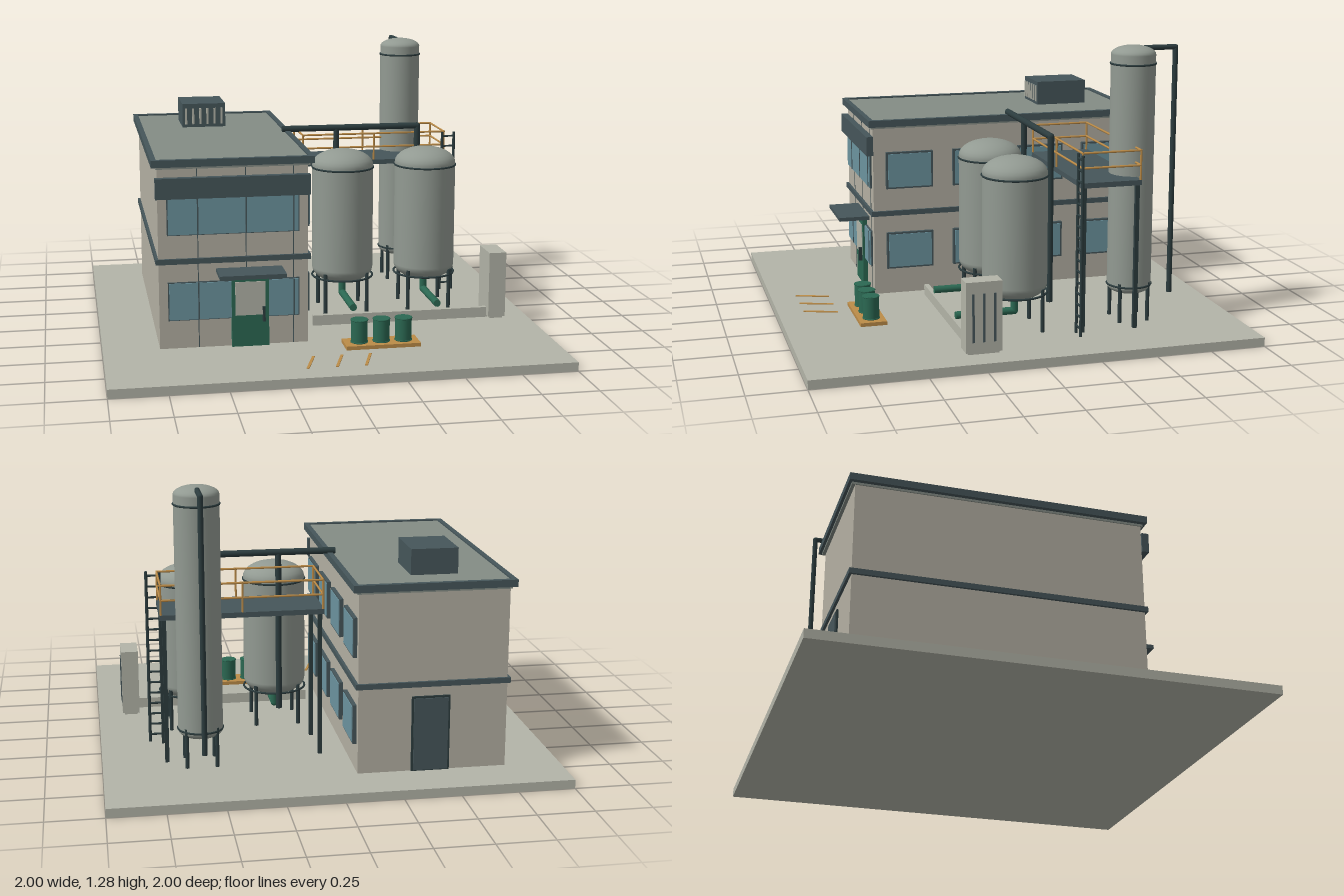
import * as THREE from 'three';

const mat = (name, color) => {
  const m = new THREE.MeshStandardMaterial({ color });
  m.name = name;
  return m;
};

export function createModel() {
  const root = new THREE.Group();
  root.name = 'processPlant';
  const M = {
    concrete: mat('concrete', 0xb3b4a8),
    wall: mat('wall', 0xb4b0a3),
    roof: mat('roofGrey', 0x848c85),
    steel: mat('tankSteel', 0x929a92),
    slate: mat('slate', 0x46565a),
    dark: mat('darkPipe', 0x2c3c3e),
    glass: mat('glass', 0x6c949f),
    green: mat('green', 0x2b6852),
    orange: mat('orange', 0xbc8c48),
  };

  const add = (parent, name, geo, material) => {
    const mesh = new THREE.Mesh(geo, material);
    mesh.name = name;
    parent.add(mesh);
    return mesh;
  };
  const group = (name, x = 0, y = 0, z = 0) => {
    const g = new THREE.Group();
    g.name = name;
    g.position.set(x, y, z);
    root.add(g);
    return g;
  };
  // box given by its extents
  const box = (p, name, m, x0, x1, y0, y1, z0, z1) => {
    const b = add(p, name, new THREE.BoxGeometry(x1 - x0, y1 - y0, z1 - z0), m);
    b.position.set((x0 + x1) / 2, (y0 + y1) / 2, (z0 + z1) / 2);
    return b;
  };
  // round bar between two points
  const rod = (p, name, m, a, b, r, sides = 10) => {
    const A = new THREE.Vector3(...a), B = new THREE.Vector3(...b);
    const d = B.clone().sub(A);
    const c = add(p, name, new THREE.CylinderGeometry(r, r, d.length(), sides), m);
    c.position.copy(A).add(B).multiplyScalar(0.5);
    c.quaternion.setFromUnitVectors(new THREE.Vector3(0, 1, 0), d.normalize());
    return c;
  };
  // pipe run with ball elbows
  const pipe = (p, name, m, pts, r) => {
    pts.slice(1).forEach((q, i) => rod(p, name, m, pts[i], q, r, 14));
    pts.slice(1, -1).forEach((q) => add(p, name + 'Elbow', new THREE.SphereGeometry(r, 14, 10), m).position.set(...q));
  };

  box(root, 'groundSlab', M.concrete, -1, 1, 0, 0.04, -1, 1);

  // building shell
  const house = group('building');
  box(house, 'walls', M.wall, -0.75, -0.09, 0.04, 0.85, -0.78, 0.51);
  box(house, 'floorBand', M.slate, -0.762, -0.078, 0.423, 0.447, -0.792, 0.522);
  box(house, 'roofSlab', M.roof, -0.755, -0.08, 0.845, 0.88, -0.795, 0.52);
  for (const [z0, z1] of [[-0.808, -0.785], [0.51, 0.533]])
    box(house, 'roofEdge', M.slate, -0.775, -0.063, 0.855, 0.887, z0, z1);
  for (const [x0, x1] of [[-0.775, -0.752], [-0.086, -0.063]])
    box(house, 'roofEdge', M.slate, x0, x1, 0.855, 0.887, -0.785, 0.51);
  box(house, 'fascia', M.slate, -0.76, -0.082, 0.717, 0.808, 0.51, 0.542);

  // front window strips and panel seams
  for (const [y0, y1] of [[0.555, 0.717], [0.172, 0.337]]) {
    box(house, 'frontWindowFrame', M.slate, -0.711, -0.129, y0 - 0.004, y1 + 0.004, 0.51, 0.518);
    box(house, 'frontWindow', M.glass, -0.706, -0.134, y0, y1, 0.512, 0.523);
    for (const x of [-0.577, -0.365, -0.155])
      box(house, 'mullion', M.slate, x - 0.003, x + 0.003, y0, y1, 0.518, 0.526);
  }
  for (const x of [-0.577, -0.365, -0.155])
    box(house, 'panelSeam', M.slate, x - 0.002, x + 0.002, 0.04, 0.845, 0.509, 0.512);

  // side windows
  for (const z of [0.338, 0.013, -0.311, -0.635])
    for (const y of [0.253, 0.643]) {
      box(house, 'sideWindowFrame', M.slate, -0.09, -0.073, y - 0.088, y + 0.088, z - 0.113, z + 0.113);
      box(house, 'sideWindow', M.glass, -0.08, -0.07, y - 0.08, y + 0.08, z - 0.104, z + 0.104);
    }

  // front door with canopy
  box(house, 'frontDoor', M.green, -0.433, -0.268, 0.04, 0.37, 0.51, 0.532);
  box(house, 'doorPane', M.concrete, -0.418, -0.284, 0.183, 0.335, 0.528, 0.535);
  box(house, 'doorHandle', M.dark, -0.297, -0.286, 0.155, 0.222, 0.532, 0.55);
  box(house, 'canopy', M.slate, -0.498, -0.207, 0.378, 0.396, 0.51, 0.655);
  // back door
  box(house, 'backDoorFrame', M.dark, -0.495, -0.325, 0.04, 0.38, -0.788, -0.78);
  box(house, 'backDoor', M.slate, -0.486, -0.334, 0.045, 0.371, -0.793, -0.785);

  // rooftop ventilation unit
  const vent = group('roofVent');
  box(vent, 'ventBody', M.slate, -0.557, -0.347, 0.88, 0.995, -0.63, -0.38);
  for (let i = 0; i < 6; i++) {
    const x = -0.54 + i * 0.0348;
    box(vent, 'ventSlat', M.concrete, x - 0.005, x + 0.005, 0.895, 0.973, -0.382, -0.374);
  }

  // vertical vessel with domed ends, bands and legs
  const vessel = (name, x, z, r, y0, y1, dome, bands, legOffset) => {
    const g = group(name, x, 0, z);
    const pts = [];
    for (let i = 0; i <= 8; i++) {
      const a = (i / 8) * Math.PI / 2;
      pts.push(new THREE.Vector2(r * Math.sin(a), y0 + dome * (1 - Math.cos(a))));
    }
    for (let i = 8; i >= 0; i--) {
      const a = (i / 8) * Math.PI / 2;
      pts.push(new THREE.Vector2(r * Math.sin(a), y1 - dome * (1 - Math.cos(a))));
    }
    pts[0].x = pts[pts.length - 1].x = 0;
    add(g, 'shell', new THREE.LatheGeometry(pts, 36), M.steel);
    for (const y of bands) {
      const t = add(g, 'band', new THREE.TorusGeometry(r, 0.005, 6, 36), M.dark);
      t.rotation.x = Math.PI / 2;
      t.position.y = y;
    }
    for (const sx of [-1, 1]) for (const sz of [-1, 1])
      rod(g, 'leg', M.dark, [sx * legOffset, 0.04, sz * legOffset], [sx * legOffset, y0 + 0.06, sz * legOffset], 0.009);
    return g;
  };

  // two storage tanks with outlets and feed drops
  for (const x of [0.165, 0.567]) {
    const g = vessel('tank', x, 0.01, 0.145, 0.175, 0.82, 0.075, [0.735, 0.208], 0.1);
    pipe(g, 'outlet', M.green, [[0, 0.19, 0], [0, 0.117, 0], [0, 0.117, 0.27]], 0.017);
    pipe(root, 'feedDrop', M.dark, [[x, 0.895, -0.153], [x, 0.145, -0.153]], 0.014);
  }
  pipe(root, 'feedPipe', M.dark, [[-0.1, 0.895, -0.153], [0.567, 0.895, -0.153], [0.567, 0.8, -0.153]], 0.015);

  // tall column with overhead line
  vessel('column', 0.567, -0.53, 0.099, 0.16, 1.285, 0.04, [1.205, 0.205], 0.066);
  pipe(root, 'overheadLine', M.dark,
    [[0.567, 1.27, -0.58], [0.567, 1.27, -0.727], [0.567, 0.145, -0.727]], 0.012);

  // access platform with railings
  const deck = group('platform');
  box(deck, 'deck', M.slate, 0.012, 0.733, 0.692, 0.715, -0.518, -0.24);
  for (const x of [0.03, 0.715]) for (const z of [-0.503, -0.258])
    box(deck, 'deckPost', M.dark, x - 0.009, x + 0.009, 0.04, 0.692, z - 0.009, z + 0.009);
  const [xa, xb, za, zb] = [0.017, 0.728, -0.513, -0.245];
  for (const y of [0.78, 0.846]) {
    for (const z of [za, zb]) rod(deck, 'railing', M.orange, [xa, y, z], [xb, y, z], 0.005, 6);
    for (const x of [xa, xb]) rod(deck, 'railing', M.orange, [x, y, za], [x, y, zb], 0.005, 6);
  }
  for (const x of [xa, (xa + xb) / 2, xb]) for (const z of [za, zb])
    rod(deck, 'railPost', M.orange, [x, 0.71, z], [x, 0.85, z], 0.005, 6);

  // ladder
  const ladder = group('ladder');
  for (const x of [0.716, 0.775]) rod(ladder, 'ladderRail', M.dark, [x, 0.04, -0.23], [x, 0.845, -0.23], 0.007, 8);
  for (let i = 0; i < 16; i++) {
    const y = 0.075 + i * 0.05;
    rod(ladder, 'rung', M.dark, [0.716, y, -0.23], [0.775, y, -0.23], 0.005, 6);
  }

  // kerb and control cabinet
  box(root, 'kerb', M.concrete, -0.027, 0.81, 0.04, 0.088, 0.26, 0.283);
  const cabinet = group('cabinet');
  box(cabinet, 'cabinetBody', M.concrete, 0.806, 0.887, 0.05, 0.358, 0.157, 0.316);
  box(cabinet, 'cabinetFoot', M.concrete, 0.815, 0.878, 0.04, 0.05, 0.167, 0.306);
  for (const z of [0.19, 0.237, 0.284])
    box(cabinet, 'cabinetSlot', M.slate, 0.882, 0.89, 0.095, 0.307, z - 0.005, z + 0.005);

  // drums on a pallet
  const store = group('drumStore');
  box(store, 'pallet', M.orange, 0.055, 0.39, 0.04, 0.057, 0.55, 0.67);
  for (const x of [0.123, 0.223, 0.323]) {
    rod(store, 'drum', M.green, [x, 0.057, 0.61], [x, 0.163, 0.61], 0.037, 24);
    for (const y of [0.06, 0.16]) {
      const t = add(store, 'drumRim', new THREE.TorusGeometry(0.037, 0.003, 6, 24), M.green);
      t.rotation.x = Math.PI / 2;
      t.position.set(x, y, 0.61);
    }
  }

  // slanted ground markings
  for (const x of [-0.13, -0.004, 0.122]) {
    const s = box(root, 'groundStripe', M.orange, x - 0.006, x + 0.006, 0.04, 0.044, 0.727, 0.887);
    s.rotation.y = -Math.atan2(0.05, 0.15);
  }
  return root;
}
